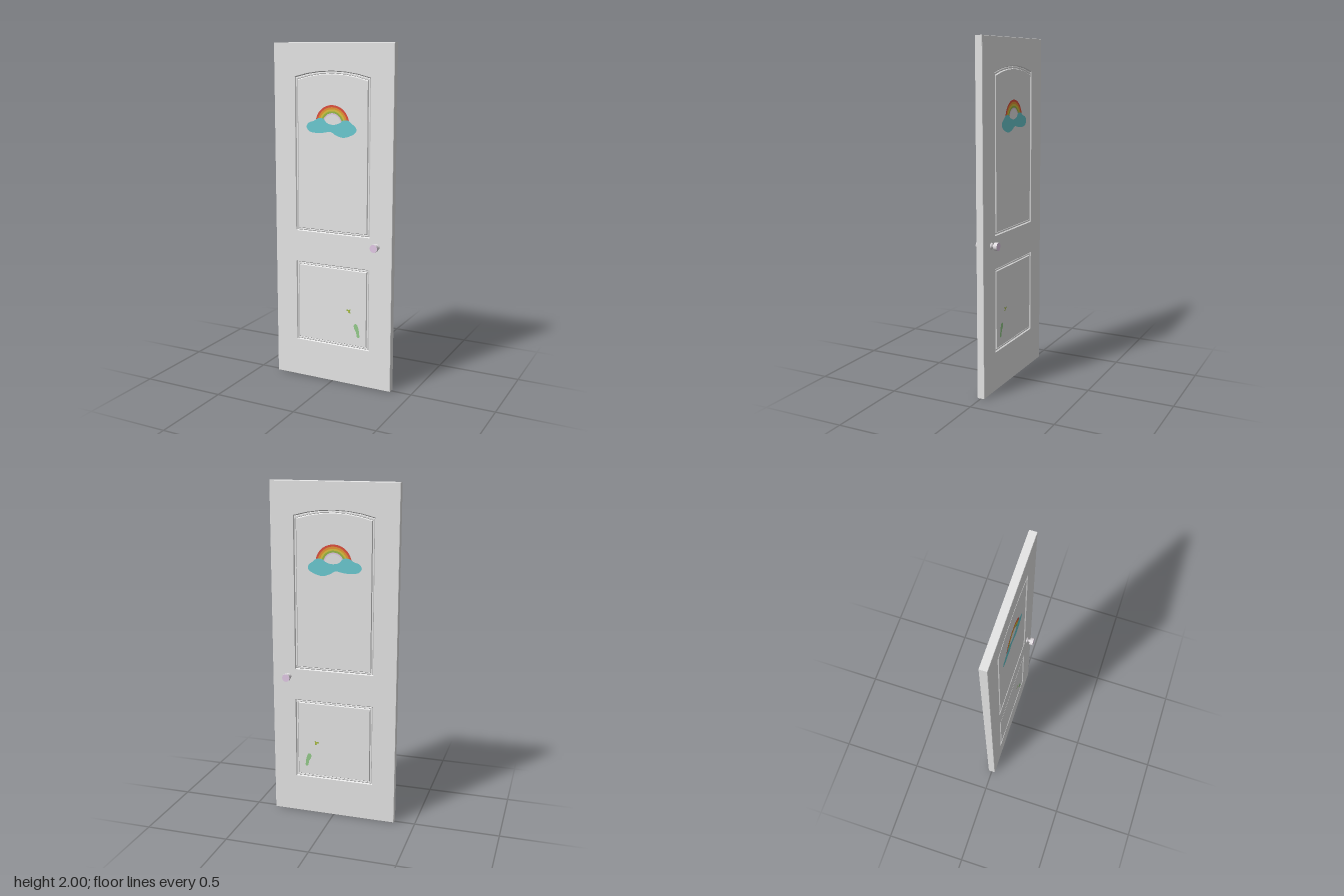
import * as THREE from 'three';

const mat = (name, color) => {
  const m = new THREE.MeshStandardMaterial({ color });
  m.name = name;
  return m;
};

const FACE = 0.0215; // half thickness of the door
const W = 0.376;

// Closed outline, inset by o; arch raises the middle of the top edge
function outline({ x0, x1, y0, y1, arch = 0 }, o) {
  const pts = [new THREE.Vector2(x0 + o, y0 + o), new THREE.Vector2(x1 - o, y0 + o)];
  const n = arch ? 6 : 1;
  for (let i = 0; i <= n; i++) {
    const t = 1 - (2 * i) / n;
    const x = (x0 + x1) / 2 + (t * (x1 - x0 - 2 * o)) / 2;
    pts.push(new THREE.Vector2(x, y1 - o + arch * (1 - t * t)));
  }
  return pts;
}

// Flat-shaded strips between successive [inset, z] rings of an outline
function loft(rect, rings) {
  const pos = [];
  for (let r = 0; r < rings.length - 1; r++) {
    const a = outline(rect, rings[r][0]), b = outline(rect, rings[r + 1][0]);
    const za = rings[r][1], zb = rings[r + 1][1];
    a.forEach((p, i) => {
      const j = (i + 1) % a.length, q = a[j], s = b[j], t = b[i];
      pos.push(p.x, p.y, za, q.x, q.y, za, s.x, s.y, zb);
      pos.push(p.x, p.y, za, s.x, s.y, zb, t.x, t.y, zb);
    });
  }
  const g = new THREE.BufferGeometry();
  g.setAttribute('position', new THREE.Float32BufferAttribute(pos, 3));
  g.computeVertexNormals();
  return g;
}

// Copy reflected through the door plane, with the corner order reversed
function mirrorZ(geo) {
  const src = (geo.index ? geo.toNonIndexed() : geo).getAttribute('position');
  const pos = [];
  for (let i = 0; i < src.count; i += 3)
    for (const k of [i, i + 2, i + 1]) pos.push(src.getX(k), src.getY(k), -src.getZ(k));
  const g = new THREE.BufferGeometry();
  g.setAttribute('position', new THREE.Float32BufferAttribute(pos, 3));
  g.computeVertexNormals();
  return g;
}

export function createModel() {
  const root = new THREE.Group();
  root.name = 'door';
  const M = {
    paint: mat('door paint', 0xe6e6e6),
    metal: mat('knob grey', 0xe2dee2),
    lilac: mat('lilac', 0xe4cbe8),
    cloud: mat('cloud blue', 0x6ccbd2),
    red: mat('rainbow red', 0xe0513f),
    orange: mat('rainbow orange', 0xee9a38),
    yellow: mat('rainbow yellow', 0xdcc43e),
    green: mat('rainbow green', 0x98ba48),
    leaf: mat('leaf green', 0x96cc8c),
  };
  const add = (name, geo, m) => {
    const mesh = new THREE.Mesh(geo, m);
    mesh.name = name;
    root.add(mesh);
  };
  const both = (name, geo, m) => {
    add(name + 'Front', geo, m);
    add(name + 'Back', mirrorZ(geo), m);
  };
  const flat = (shape, z) => new THREE.ShapeGeometry(shape, 20).translate(0, 0, z);

  const slab = { x0: -W, x1: W, y0: 0, y1: 2 };
  const panels = {
    upperPanel: { x0: -0.24, x1: 0.238, y0: 0.909, y1: 1.81, arch: 0.035 },
    lowerPanel: { x0: -0.24, x1: 0.238, y0: 0.229, y1: 0.721 },
  };

  // Slab: eased edge all round, front and back faces open at the panels
  const e = 0.002;
  add('slabEdge', loft(slab, [[e, -FACE], [0, e - FACE], [0, FACE - e], [e, FACE]]), M.paint);
  const face = new THREE.Shape(outline(slab, e));
  for (const p of Object.values(panels)) face.holes.push(new THREE.Path(outline(p, 0)));
  both('slabFace', flat(face, FACE), M.paint);

  // Sunk panel mouldings and raised fields
  for (const [name, p] of Object.entries(panels)) {
    both(name + 'Moulding', loft(p, [
      [0, FACE], [0.005, 0.014], [0.008, 0.0165], [0.014, 0.0165], [0.016, 0.014], [0.02, FACE - 0.001],
    ]), M.paint);
    both(name + 'Field', flat(new THREE.Shape(outline(p, 0.02)), FACE - 0.001), M.paint);
  }

  // Rainbow bands, outermost first
  const radii = [0.106, 0.094, 0.082, 0.071, 0.06, 0.052];
  ['red', 'orange', 'yellow', 'green', 'lilac'].forEach((c, i) => {
    const band = new THREE.Shape();
    band.absellipse(0, 1.55, radii[i], radii[i] * 0.98, 0, Math.PI, false);
    band.absellipse(0, 1.55, radii[i + 1], radii[i + 1] * 0.98, Math.PI, 0, true);
    both(c + 'RainbowBand', flat(band, FACE), M[c]);
  });

  // Closed smooth blob through a few points
  const blob = (pts) => new THREE.Shape(
    new THREE.CatmullRomCurve3(pts.map(([x, y]) => new THREE.Vector3(x, y, 0)), true)
      .getPoints(60).slice(0, -1).map((v) => new THREE.Vector2(v.x, v.y)));

  both('cloud', flat(blob([
    [-0.165, 1.525], [-0.145, 1.5], [-0.1, 1.493], [-0.055, 1.496], [-0.01, 1.503], [0.02, 1.486],
    [0.065, 1.473], [0.11, 1.483], [0.148, 1.506], [0.15, 1.53], [0.125, 1.552], [0.1, 1.57],
    [0.07, 1.57], [0.045, 1.553], [0.005, 1.543], [-0.035, 1.553], [-0.055, 1.575], [-0.09, 1.577],
    [-0.12, 1.56], [-0.15, 1.55],
  ]), FACE + 0.001), M.cloud);

  // Small plant sprigs on the lower panel
  both('leafStroke', flat(blob([
    [0.143, 0.378], [0.143, 0.355], [0.155, 0.335], [0.163, 0.303], [0.176, 0.302],
    [0.176, 0.33], [0.17, 0.36], [0.158, 0.382],
  ]), FACE), M.leaf);
  both('sprig', flat(blob([
    [0.093, 0.456], [0.104, 0.454], [0.106, 0.446], [0.118, 0.444], [0.117, 0.455],
    [0.119, 0.468], [0.107, 0.462], [0.097, 0.465],
  ]), FACE), M.green);
  both('sprigBud', flat(blob([[0.104, 0.455], [0.109, 0.451], [0.113, 0.456], [0.108, 0.46]]), FACE + 0.001), M.yellow);

  // Knobs: rosette dome, stem and flat round grip with a lilac cap
  for (const s of [1, -1]) {
    const knob = new THREE.Group();
    knob.name = s > 0 ? 'frontKnob' : 'backKnob';
    knob.position.set(0.281, 0.862, 0);
    knob.rotation.x = (s * Math.PI) / 2;
    const part = (name, geo, y, m) => {
      const mesh = new THREE.Mesh(geo, m);
      mesh.name = name;
      mesh.position.y = y;
      knob.add(mesh);
    };
    part('rosette', new THREE.SphereGeometry(0.019, 24, 8, 0, Math.PI * 2, 0, Math.PI / 2).scale(1, 0.7, 1), 0.0205, M.metal);
    part('stem', new THREE.CylinderGeometry(0.008, 0.008, 0.024, 20), 0.033, M.metal);
    part('grip', new THREE.CylinderGeometry(0.023, 0.023, 0.021, 28), 0.0545, M.metal);
    part('cap', new THREE.CircleGeometry(0.0228, 28).rotateX(-Math.PI / 2), 0.0655, M.lilac);
    root.add(knob);
  }
  return root;
}
